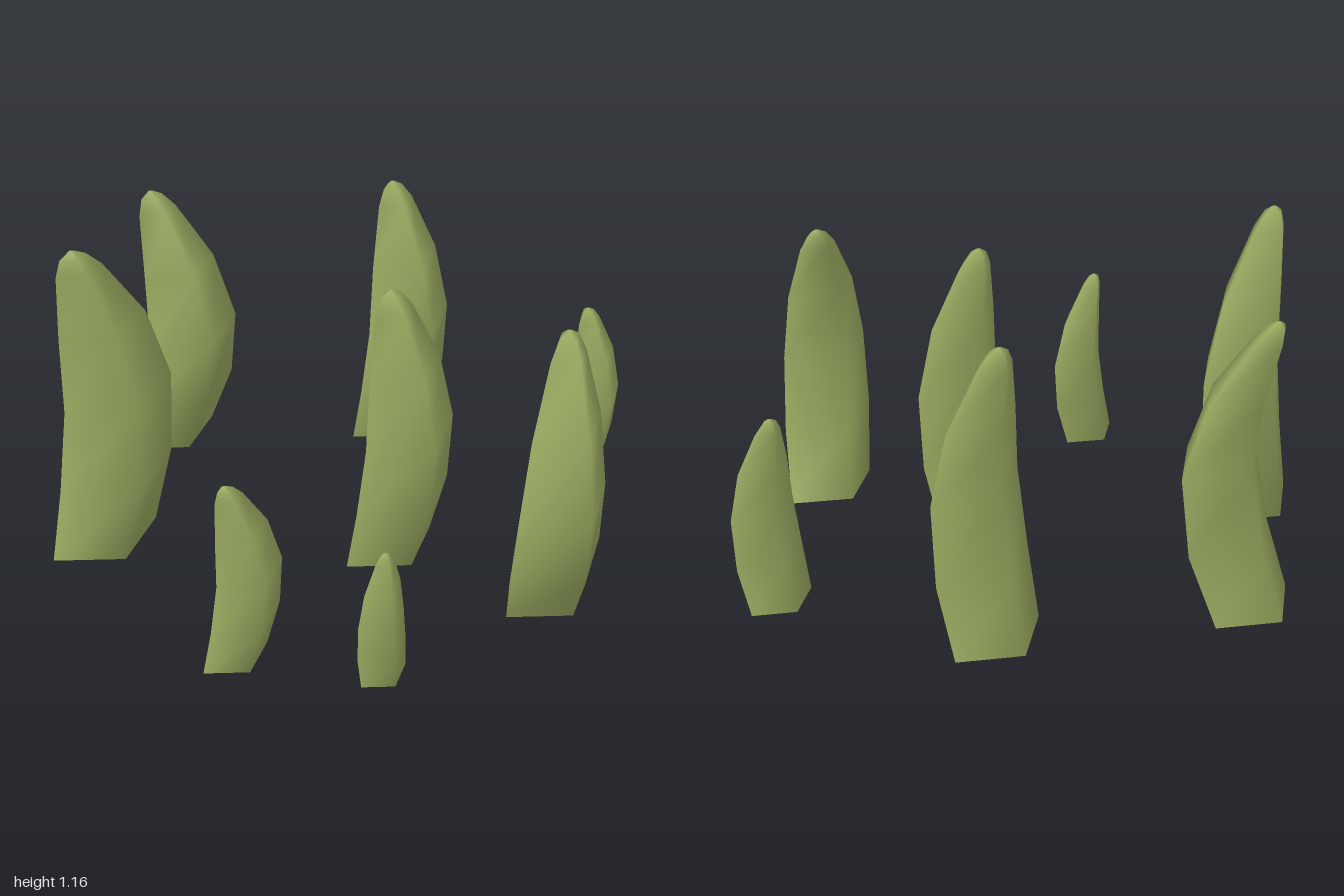
import * as THREE from 'three';

// Blade stations: height, half width (x), half depth (z), share of the bend
const STATIONS = [
  [0, 0.128, 0.185, 0],
  [0.25, 0.142, 0.198, 0.68],
  [0.52, 0.135, 0.185, 1],
  [0.77, 0.102, 0.145, 0.68],
  [0.97, 0.055, 0.075, 0.1],
  [1.02, 0.032, 0.042, -0.06],
  [1.04, 0.006, 0.008, -0.1],
];

// Diamond sections swept up the bent spine, with shared vertices for smooth sides
function bladeGeometry(scale, bendX, bendZ) {
  const positions = [];
  const index = [];
  for (const [y, hx, hz, bend] of STATIONS) {
    for (let k = 0; k < 4; k++) {
      const a = (k * Math.PI) / 2;
      positions.push(
        Math.cos(a) * hx * scale + bend * bendX,
        y * scale,
        Math.sin(a) * hz * scale + bend * bendZ
      );
    }
  }
  for (let i = 0; i < STATIONS.length - 1; i++) {
    for (let k = 0; k < 4; k++) {
      const a = i * 4 + k;
      const b = i * 4 + ((k + 1) % 4);
      index.push(a, a + 4, b, b, a + 4, b + 4);
    }
  }
  const top = (STATIONS.length - 1) * 4;
  index.push(top, top + 2, top + 1, top, top + 3, top + 2);
  const geometry = new THREE.BufferGeometry();
  geometry.setAttribute('position', new THREE.Float32BufferAttribute(positions, 3));
  geometry.setIndex(index);
  geometry.computeVertexNormals();
  return geometry;
}

export function createModel() {
  const model = new THREE.Group();
  model.name = 'grassBlades';
  const green = new THREE.MeshStandardMaterial({ color: 0x98aa60 });
  green.name = 'leafGreen';

  // Base centre x, z, height, bend x, bend z
  const blades = [
    [-0.872, 0.25, 1.04, 0.135, -0.05],
    [-0.44, 0.785, 1.16, 0, -0.108],
    [-0.42, -0.485, 1.04, 0.107, 0.005],
    [0.2, 0.005, 1.04, 0.075, -0.025],
    [0.73, -0.265, 1.04, 0.135, 0.105],
    [0.236, -0.86, 0.69, 0.055, -0.012],
    [0.353, 0.75, 0.69, 0.022, -0.055],
    [0.705, 0.418, 0.5, 0, 0.012],
  ];

  blades.forEach(([x, z, height, bendX, bendZ], i) => {
    const scale = height / 1.04;
    const blade = new THREE.Group();
    blade.name = `blade${i + 1}`;
    blade.position.set(x, 0, z);

    const body = new THREE.Mesh(bladeGeometry(scale, bendX, bendZ), green);
    body.name = 'bladeBody';

    // Flat diamond underside
    const capGeometry = new THREE.CircleGeometry(1, 4);
    capGeometry.rotateX(Math.PI / 2);
    capGeometry.scale(STATIONS[0][1] * scale, 1, STATIONS[0][2] * scale);
    const cap = new THREE.Mesh(capGeometry, green);
    cap.name = 'bladeBase';

    blade.add(body, cap);
    model.add(blade);
  });
  return model;
}
